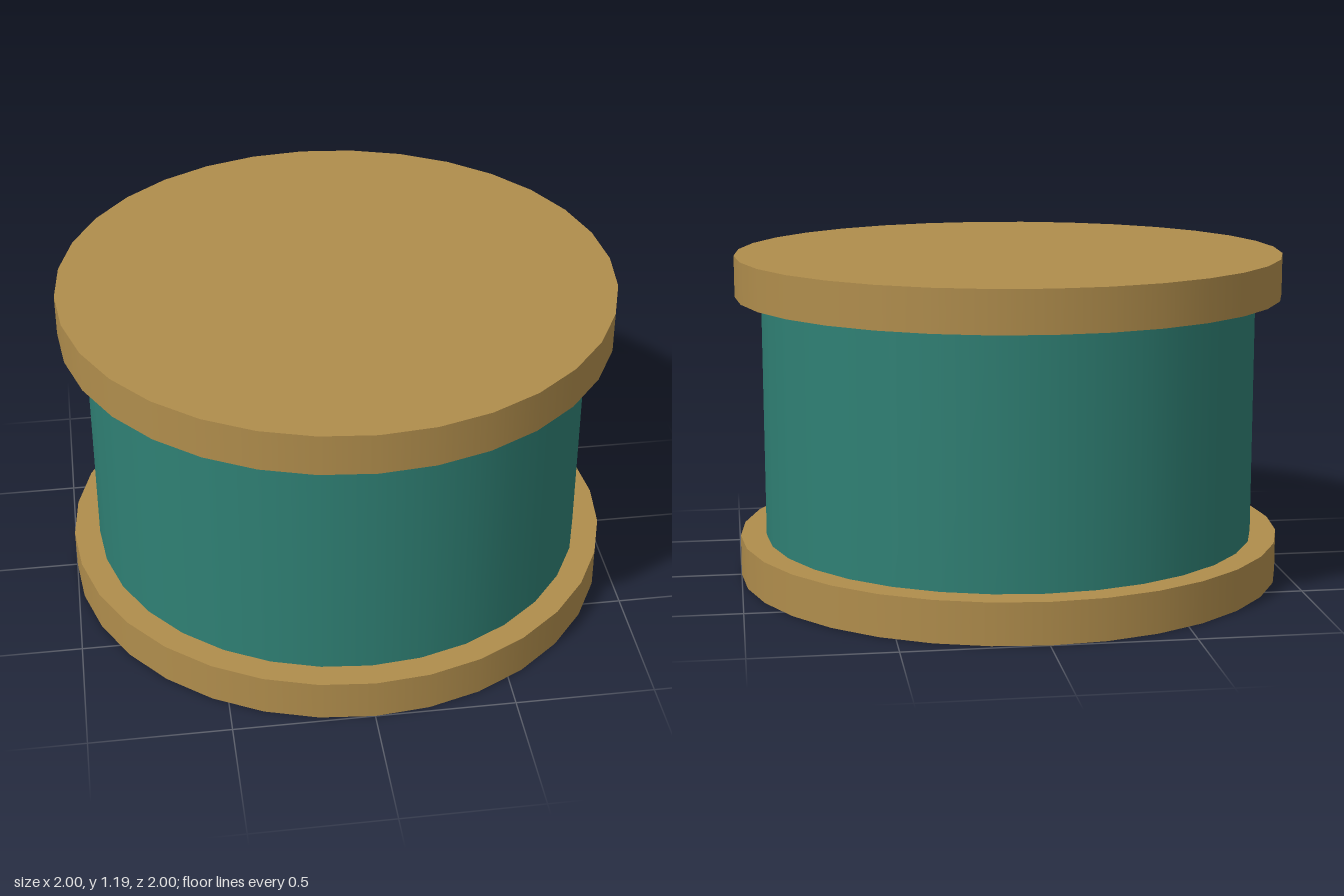
import * as THREE from 'three';

const SIDES = 32;
const HEIGHT = 1.19;
const RIM = 0.15;

export function createModel() {
  const model = new THREE.Group();
  const gold = new THREE.MeshStandardMaterial({ color: 0xb08d4c });
  const teal = new THREE.MeshStandardMaterial({ color: 0x2f8074 });

  const addDrum = (name, radius, height, bottom, material) => {
    const mesh = new THREE.Mesh(new THREE.CylinderGeometry(radius, radius, height, SIDES), material);
    mesh.name = name;
    mesh.position.y = bottom + height / 2;
    model.add(mesh);
  };

  // Wide discs above and below a narrower drum
  addDrum('bottomDisc', 1, RIM, 0, gold);
  addDrum('drumBody', 0.905, HEIGHT - 2 * RIM, RIM, teal);
  addDrum('topDisc', 1, RIM, HEIGHT - RIM, gold);

  return model;
}
